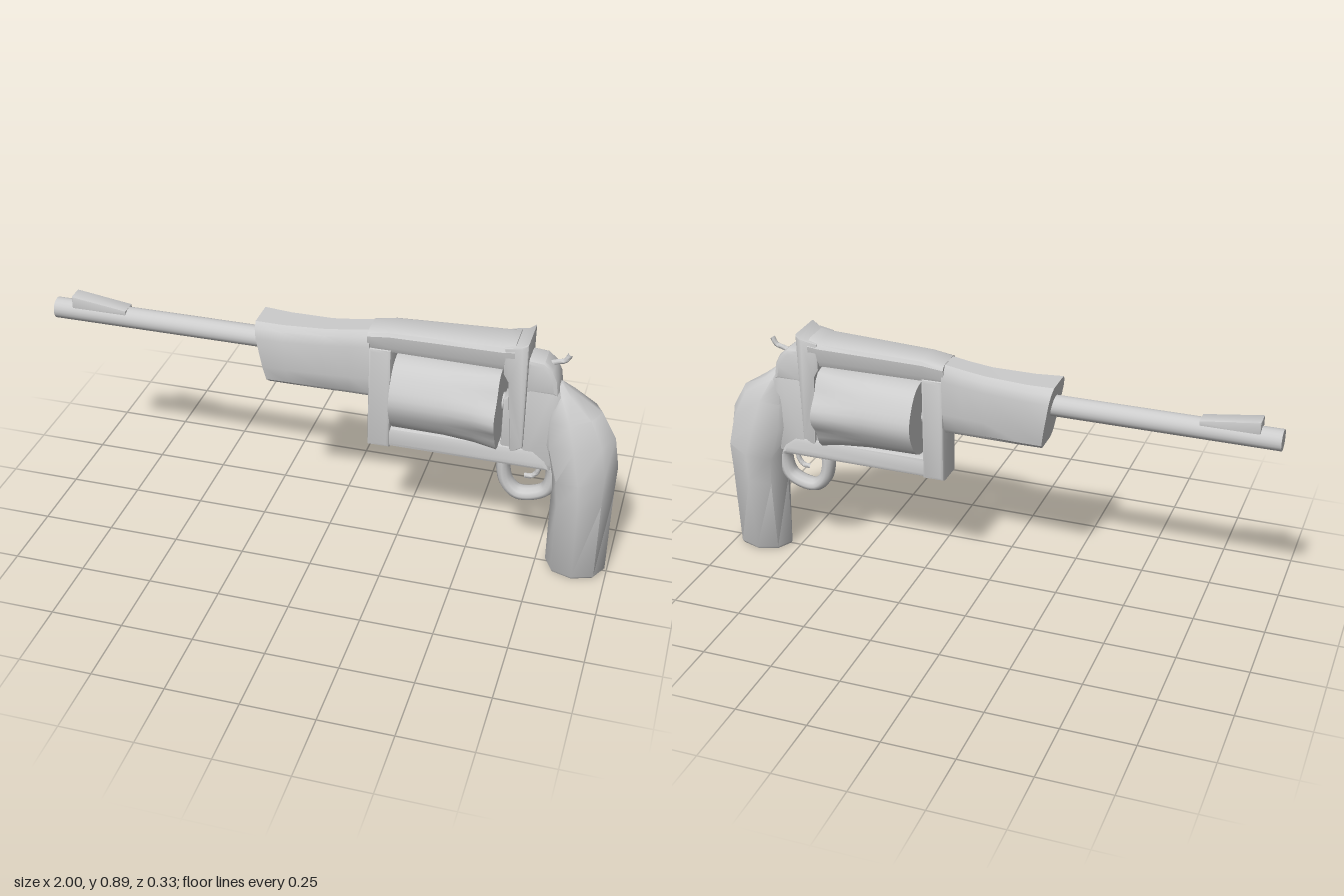
import * as THREE from 'three';
import { toCreasedNormals } from 'three/addons/utils/BufferGeometryUtils.js';

const material = new THREE.MeshStandardMaterial({ color: 0xcccccc });

function part(name, geometry, crease = 0.6) {
  const mesh = new THREE.Mesh(toCreasedNormals(geometry, crease), material);
  mesh.name = name;
  return mesh;
}

// Skin a list of equal-length point rings and cap both ends.
function loft(rings) {
  const n = rings[0].length;
  const pos = [];
  const index = [];
  rings.forEach(ring => ring.forEach(p => pos.push(...p)));
  for (let i = 0; i < rings.length - 1; i++) {
    for (let j = 0; j < n; j++) {
      const a = i * n + j, b = i * n + (j + 1) % n;
      index.push(a, b, b + n, a, b + n, a + n);
    }
  }
  const last = (rings.length - 1) * n;
  for (let j = 1; j < n - 1; j++) {
    index.push(0, j + 1, j, last, last + j, last + j + 1);
  }
  const g = new THREE.BufferGeometry();
  g.setAttribute('position', new THREE.Float32BufferAttribute(pos, 3));
  g.setIndex(index);
  return g;
}

// Side outline extruded evenly to both sides of the centre plane.
function slab(points, halfWidth, bevel = 0.012) {
  const shape = new THREE.Shape(points.map(p => new THREE.Vector2(...p)));
  const g = new THREE.ExtrudeGeometry(shape, {
    depth: 2 * (halfWidth - bevel), bevelEnabled: true, bevelThickness: bevel,
    bevelSize: bevel, bevelOffset: -bevel, bevelSegments: 2,
  });
  return g.translate(0, 0, bevel - halfWidth);
}

function rod(x0, x1, y, r, sides = 20) {
  return new THREE.CylinderGeometry(r, r, x1 - x0, sides)
    .rotateZ(Math.PI / 2).translate((x0 + x1) / 2, y, 0);
}

// One cross-section of the stock: [height fraction, width fraction] mirrored in z.
function stockRing([xTop, xBottom, yBottom, yTop, w]) {
  const half = [[1, 0.62], [0.92, 0.88], [0.78, 1], [0.3, 0.92], [0.07, 0.78], [0, 0.55]];
  const point = (t, k) =>
    [xBottom + (xTop - xBottom) * t, yBottom + (yTop - yBottom) * t, k * w];
  return [
    ...half.map(([t, k]) => point(t, k)),
    ...half.slice().reverse().map(([t, k]) => point(t, -k)),
  ];
}

// One octagonal cross-section of the grip between a front and a back point.
function gripRing([fx, fy, bx, by, w]) {
  return Array.from({ length: 8 }, (_, i) => {
    const a = i / 8 * Math.PI * 2;
    const t = (1 + Math.sin(a)) / 2;
    return [fx + (bx - fx) * t, fy + (by - fy) * t, Math.cos(a) * w];
  });
}

// Six-ridged ring of the cylinder; depth is how far the flutes sink in.
function drumRing([x, r, depth]) {
  return Array.from({ length: 36 }, (_, i) => {
    const a = i / 36 * Math.PI * 2;
    const radius = r - depth * (1 - Math.cos(a * 6)) / 2;
    return [x, 0.628 + Math.sin(-a) * -radius * -1 * -1, Math.cos(a) * radius];
  }).reverse();
}

export function createModel() {
  const gun = new THREE.Group();
  gun.name = 'revolverRifle';

  // Barrel and wedge front sight
  gun.add(part('barrel', rod(-1, -0.18, 0.741, 0.037)));
  gun.add(part('frontSight', slab(
    [[-0.93, 0.755], [-0.73, 0.755], [-0.73, 0.778], [-0.93, 0.806]], 0.03, 0.003)));

  // Fore-end, narrowing into the top strap
  gun.add(part('foreEnd', loft([
    [-0.245, -0.205, 0.598, 0.828, 0.084],
    [-0.15, -0.13, 0.595, 0.824, 0.076],
    [0, 0, 0.592, 0.828, 0.064],
    [0.08, 0.08, 0.592, 0.838, 0.061],
    [0.152, 0.152, 0.592, 0.85, 0.061],
  ].map(stockRing))));
  gun.add(part('topStrap', loft([
    [0.145, 0.145, 0.775, 0.85, 0.061],
    [0.22, 0.22, 0.775, 0.862, 0.063],
    [0.4, 0.4, 0.775, 0.868, 0.068],
    [0.6, 0.6, 0.775, 0.874, 0.074],
    [0.64, 0.64, 0.775, 0.88, 0.074],
  ].map(stockRing))));

  // Frame around the cylinder
  gun.add(part('frontPost', slab(
    [[0.148, 0.41], [0.228, 0.41], [0.228, 0.79], [0.148, 0.79]], 0.06)));
  gun.add(part('bottomBar', slab(
    [[0.16, 0.41], [0.78, 0.41], [0.765, 0.45], [0.72, 0.485], [0.16, 0.485]], 0.054, 0.016)));
  const post = slab([[0.605, 0.77], [0.605, 0.868], [0.66, 0.878], [0.684, 0.895],
    [0.684, 0.49], [0.64, 0.46], [0.632, 0.6], [0.622, 0.74]], 0.073, 0.006);
  const p = post.attributes.position;
  for (let i = 0; i < p.count; i++) {
    const t = THREE.MathUtils.clamp((p.getY(i) - 0.46) / 0.4, 0, 1);
    p.setZ(i, p.getZ(i) * (0.72 + 0.28 * t));
  }
  gun.add(part('rearPost', post));
  gun.add(part('recoilPlate', slab(
    [[0.607, 0.475], [0.65, 0.475], [0.65, 0.7], [0.607, 0.66]], 0.045, 0.008)));
  gun.add(part('rearFrame', slab([[0.67, 0.42], [0.79, 0.42], [0.8, 0.6], [0.8, 0.7],
    [0.775, 0.73], [0.68, 0.74]], 0.05, 0.016)));
  gun.add(part('hammerHousing', slab([[0.675, 0.7], [0.79, 0.7], [0.782, 0.76],
    [0.765, 0.795], [0.735, 0.82], [0.675, 0.825]], 0.052, 0.016)));

  // Fluted cylinder flaring at the rear, on its axle
  gun.add(part('cylinder', loft([
    [0.24, 0.14, 0.004],
    [0.42, 0.142, 0.006],
    [0.52, 0.15, 0.012],
    [0.6, 0.163, 0.022],
  ].map(drumRing))));
  gun.add(part('axle', rod(0.2, 0.64, 0.63, 0.03, 12)));

  // Hammer spur
  const spur = new THREE.CatmullRomCurve3([[0.72, 0.79], [0.765, 0.805], [0.795, 0.815],
    [0.81, 0.84]].map(([x, y]) => new THREE.Vector3(x, y, 0)));
  gun.add(part('hammer', new THREE.TubeGeometry(spur, 12, 0.009, 8), 1));

  // Trigger guard and trigger
  const guard = new THREE.CatmullRomCurve3([[0.625, 0.42], [0.624, 0.33], [0.665, 0.281],
    [0.725, 0.284], [0.772, 0.315], [0.778, 0.41], [0.7, 0.425],
  ].map(([x, y]) => new THREE.Vector3(x, y, 0)), true);
  gun.add(part('triggerGuard',
    new THREE.TubeGeometry(guard, 40, 0.024, 10, true).scale(1, 1, 1.4), 1));
  const pull = new THREE.CatmullRomCurve3([[0.735, 0.42], [0.735, 0.375], [0.715, 0.35],
    [0.69, 0.348]].map(([x, y]) => new THREE.Vector3(x, y, 0)));
  gun.add(part('trigger', new THREE.TubeGeometry(pull, 12, 0.009, 8), 1));

  // Curved faceted grip
  gun.add(part('grip', loft([
    [0.79, 0.005, 0.985, 0.005, 0.077],
    [0.785, 0.015, 0.993, 0.015, 0.083],
    [0.785, 0.28, 0.996, 0.33, 0.107],
    [0.775, 0.385, 1, 0.44, 0.118],
    [0.738, 0.51, 0.982, 0.55, 0.102],
    [0.742, 0.6, 0.93, 0.642, 0.083],
    [0.76, 0.69, 0.84, 0.7, 0.05],
    [0.772, 0.728, 0.795, 0.734, 0.015],
  ].map(gripRing)), 0.85));

  return gun;
}
